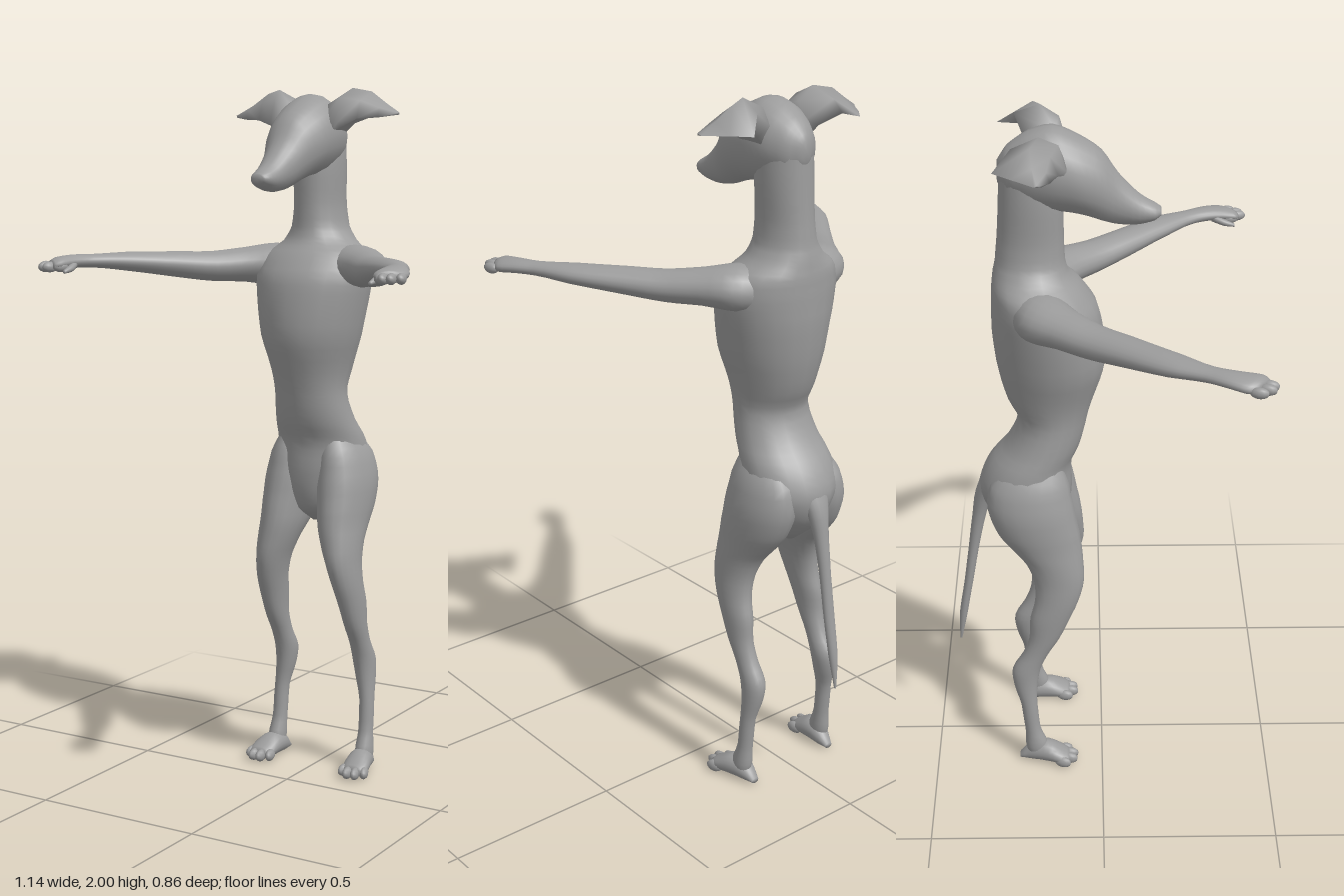
import * as THREE from 'three';

const X = new THREE.Vector3(1, 0, 0), Y = new THREE.Vector3(0, 1, 0), Z = new THREE.Vector3(0, 0, 1);
const SIDES = 20;

// Closed smooth skin over a list of point rings, wound outward
function skin(rings) {
  const n = rings[0].length, pos = [], idx = [];
  rings.forEach(r => r.forEach(p => pos.push(p.x, p.y, p.z)));
  for (let i = 0; i < rings.length - 1; i++) {
    for (let j = 0; j < n; j++) {
      const a = i * n + j, b = i * n + (j + 1) % n;
      idx.push(a, b, b + n, a, b + n, a + n);
    }
  }
  [0, rings.length - 1].forEach((k, end) => {
    const c = rings[k].reduce((s, p) => s.add(p), new THREE.Vector3()).divideScalar(n);
    const ci = pos.length / 3;
    pos.push(c.x, c.y, c.z);
    for (let j = 0; j < n; j++) {
      const a = k * n + j, b = k * n + (j + 1) % n;
      if (end) idx.push(ci, a, b); else idx.push(ci, b, a);
    }
  });
  // Flip the winding if the enclosed volume is negative
  const at = i => new THREE.Vector3().fromArray(pos, i * 3);
  const o = at(0);
  let vol = 0;
  for (let i = 0; i < idx.length; i += 3) {
    const [a, b, c] = [0, 1, 2].map(k => at(idx[i + k]).sub(o));
    vol += a.dot(b.cross(c));
  }
  if (vol < 0) idx.reverse();
  const g = new THREE.BufferGeometry();
  g.setAttribute('position', new THREE.Float32BufferAttribute(pos, 3));
  g.setIndex(idx);
  g.computeVertexNormals();
  return g;
}

// Loft of ellipses; each section is [x, y, z, radius along u, radius along v]
function loft(sections, u, v, side = 1) {
  const mid = new THREE.CatmullRomCurve3(sections.map(s => new THREE.Vector3(s[0] * side, s[1], s[2])));
  const rad = new THREE.CatmullRomCurve3(sections.map(s => new THREE.Vector3(s[3], s[4], 0)));
  const steps = (sections.length - 1) * 3, rings = [];
  const uu = new THREE.Vector3(u.x * side, u.y, u.z);
  for (let i = 0; i <= steps; i++) {
    const c = mid.getPoint(i / steps), r = rad.getPoint(i / steps), ring = [];
    for (let j = 0; j < SIDES; j++) {
      const t = (j / SIDES) * Math.PI * 2;
      ring.push(c.clone().addScaledVector(uu, r.x * Math.cos(t)).addScaledVector(v, r.y * Math.sin(t)));
    }
    rings.push(ring);
  }
  return skin(rings);
}

// Section from front and back (or top and bottom) limits
const upright = (y, hw, back, front, x = 0) => [x, y, (front + back) / 2, hw, (front - back) / 2];
const along = (z, hw, bottom, top) => [0, (bottom + top) / 2, z, hw, (top - bottom) / 2];

export function createModel() {
  const model = new THREE.Group();
  const coat = new THREE.MeshStandardMaterial({ color: 0x9c9c9c });
  coat.name = 'grey coat';
  const add = (name, geometry) => {
    const m = new THREE.Mesh(geometry, coat);
    m.name = name;
    model.add(m);
    return m;
  };

  // Pelvis, waist, chest and neck
  add('torso', loft([
    upright(0.75, 0.02, -0.24, -0.16), upright(0.79, 0.07, -0.29, -0.11),
    upright(0.85, 0.11, -0.335, -0.09), upright(0.92, 0.135, -0.35, -0.085),
    upright(0.99, 0.132, -0.32, -0.085), upright(1.05, 0.12, -0.27, -0.06),
    upright(1.13, 0.108, -0.236, -0.04), upright(1.2, 0.116, -0.265, -0.02),
    upright(1.3, 0.145, -0.29, 0.01), upright(1.4, 0.165, -0.3, 0.005),
    upright(1.47, 0.175, -0.3, -0.01), upright(1.53, 0.16, -0.298, -0.05),
    upright(1.57, 0.107, -0.293, -0.085), upright(1.61, 0.08, -0.285, -0.097),
    upright(1.68, 0.071, -0.278, -0.1), upright(1.78, 0.074, -0.272, -0.1),
    upright(1.87, 0.07, -0.268, -0.11), upright(1.92, 0.04, -0.245, -0.15),
  ], X, Z));

  // Long-muzzled head
  add('head', loft([
    along(-0.272, 0.015, 1.83, 1.89), along(-0.245, 0.055, 1.79, 1.93),
    along(-0.19, 0.085, 1.77, 1.967), along(-0.125, 0.096, 1.755, 1.982),
    along(-0.06, 0.091, 1.745, 1.955), along(0, 0.071, 1.724, 1.915),
    along(0.045, 0.051, 1.712, 1.85), along(0.1, 0.039, 1.711, 1.793),
    along(0.14, 0.031, 1.722, 1.768), along(0.157, 0.018, 1.735, 1.757),
  ], X, Y));

  // Tail
  add('tail', loft([
    [0, 0.96, -0.3, 0.06, 0.03], [0, 0.88, -0.335, 0.035, 0.028], [0, 0.8, -0.355, 0.022, 0.02],
    [0, 0.68, -0.376, 0.017, 0.015], [0, 0.56, -0.395, 0.017, 0.013],
    [0, 0.45, -0.414, 0.014, 0.012], [0, 0.35, -0.426, 0.003, 0.003],
  ], X, Z));

  // Folded ear rows from root to tip: four points over the top, two beneath
  const earRows = [
    [[.06, 1.9, -.09], [.06, 1.95, -.12], [.06, 1.965, -.17], [.06, 1.92, -.2], [.06, 1.85, -.18], [.06, 1.85, -.11]],
    [[.11, 1.9, -.09], [.105, 1.97, -.11], [.12, 1.997, -.16], [.13, 1.97, -.23], [.105, 1.9, -.2], [.1, 1.885, -.12]],
    [[.16, 1.91, -.11], [.16, 1.96, -.13], [.17, 1.987, -.18], [.18, 1.925, -.277], [.17, 1.925, -.22], [.165, 1.93, -.15]],
    [[.215, 1.913, -.13], [.215, 1.94, -.14], [.22, 1.953, -.175], [.22, 1.925, -.23], [.21, 1.93, -.2], [.21, 1.925, -.16]],
    [[.262, 1.92, -.155], [.265, 1.926, -.157], [.266, 1.927, -.163], [.263, 1.922, -.17], [.26, 1.92, -.165], [.26, 1.92, -.16]],
  ];
  const armAcross = new THREE.Vector3(0.8, 0, -0.6);

  for (const [label, s] of [['left', 1], ['right', -1]]) {
    add(label + 'Ear', skin(earRows.map(row => row.map(p => new THREE.Vector3(p[0] * s, p[1], p[2])))));

    // Arm from shoulder to paw
    add(label + 'Arm', loft([
      [0.07, 1.49, -0.2, 0.07, 0.06], [0.13, 1.497, -0.16, 0.085, 0.063], [0.2, 1.498, -0.095, 0.066, 0.05],
      [0.265, 1.495, -0.02, 0.056, 0.043], [0.33, 1.502, 0.06, 0.052, 0.037],
      [0.425, 1.513, 0.175, 0.045, 0.027], [0.482, 1.517, 0.265, 0.029, 0.019],
      [0.508, 1.517, 0.32, 0.036, 0.019], [0.522, 1.512, 0.37, 0.045, 0.019],
      [0.527, 1.508, 0.393, 0.03, 0.014],
    ], armAcross, Y, s));

    // Fingers and the small inner thumb
    const fingers = [[0.497, 0.385], [0.518, 0.407], [0.538, 0.4], [0.555, 0.378]];
    fingers.forEach(([x, z], i) => {
      const f = add(label + 'Finger' + (i + 1), new THREE.SphereGeometry(1, 10, 8));
      f.scale.set(0.013, 0.015, 0.025);
      f.position.set(x * s, 1.505, z);
      f.rotation.y = 0.25 * s;
    });
    add(label + 'Thumb', loft([
      [0.495, 1.51, 0.33, 0.014, 0.012], [0.48, 1.5, 0.365, 0.011, 0.01], [0.477, 1.492, 0.397, 0.005, 0.005],
    ], X, Y, s));

    // Leg: thigh, shin, hock and lower leg
    add(label + 'Leg', loft([
      upright(1.02, 0.035, -0.24, -0.12, 0.07), upright(0.95, 0.068, -0.315, -0.093, 0.08),
      upright(0.87, 0.079, -0.325, -0.078, 0.087), upright(0.8, 0.073, -0.3, -0.065, 0.093),
      upright(0.75, 0.066, -0.262, -0.058, 0.097), upright(0.7, 0.057, -0.22, -0.054, 0.106),
      upright(0.64, 0.046, -0.197, -0.053, 0.118), upright(0.58, 0.04, -0.195, -0.068, 0.127),
      upright(0.52, 0.036, -0.21, -0.093, 0.132), upright(0.45, 0.031, -0.214, -0.125, 0.134),
      upright(0.39, 0.029, -0.235, -0.16, 0.134), upright(0.335, 0.032, -0.266, -0.183, 0.134),
      upright(0.28, 0.029, -0.263, -0.193, 0.138), upright(0.21, 0.022, -0.243, -0.195, 0.147),
      upright(0.12, 0.022, -0.233, -0.187, 0.149), upright(0.06, 0.026, -0.232, -0.165, 0.151),
      upright(0.03, 0.022, -0.225, -0.17, 0.152),
    ], X, Z, s));

    // Foot and toes
    add(label + 'Foot', loft([
      [0.145, 0.012, -0.25, 0.012, 0.008], [0.148, 0.032, -0.21, 0.028, 0.03], [0.154, 0.036, -0.165, 0.037, 0.034],
      [0.16, 0.026, -0.125, 0.04, 0.024], [0.162, 0.02, -0.1, 0.03, 0.015],
    ], X, Y, s));
    [[0.128, -0.115], [0.15, -0.098], [0.173, -0.1], [0.192, -0.12]].forEach(([x, z], i) => {
      const t = add(label + 'Toe' + (i + 1), new THREE.SphereGeometry(1, 10, 8));
      t.scale.set(0.013, 0.018, 0.026);
      t.position.set(x * s, 0.018, z);
      t.rotation.y = (i - 1) * 0.15 * s;
    });
  }
  return model;
}
